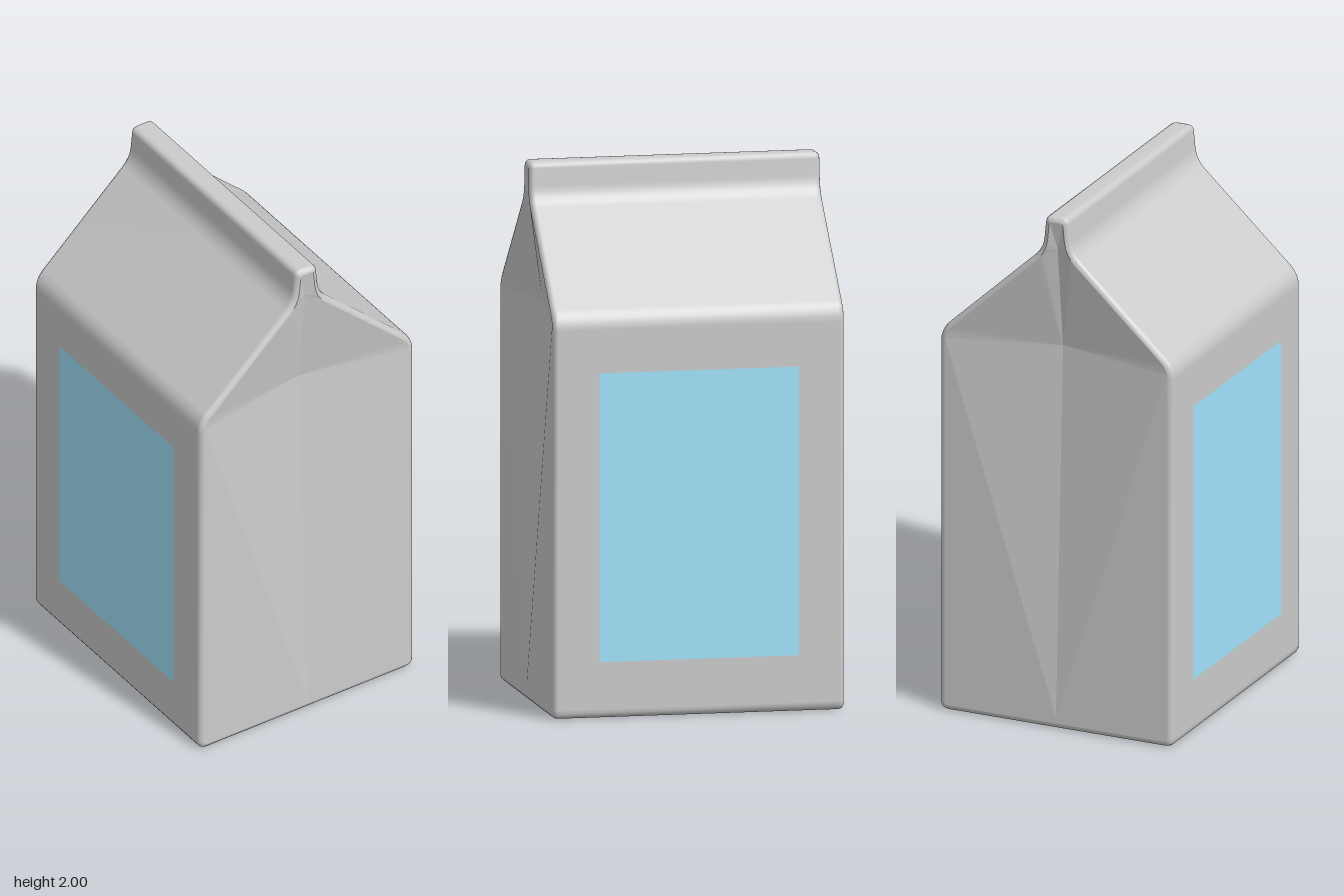
import * as THREE from 'three';

const HALF_DEPTH = 0.545, BEVEL = 0.02;

// right half of the carton outline: x, y, corner rounding
const HALF = [[0.472, 0, 0.035], [0.472, 1.485, 0.045], [0.058, 1.868, 0.045], [0.045, 2, 0.024]];

// closed, rounded outline, counter-clockwise from the bottom centre
function outline() {
  const corners = [...HALF, ...HALF.map(([x, y, r]) => [-x, y, r]).reverse()];
  const n = corners.length, pts = [new THREE.Vector2(0, 0)];
  const at = (i) => new THREE.Vector2(corners[(i + n) % n][0], corners[(i + n) % n][1]);
  corners.forEach(([, , r], i) => {
    const c = at(i);
    const a = at(i - 1).sub(c).setLength(r).add(c);
    const b = at(i + 1).sub(c).setLength(r).add(c);
    pts.push(...new THREE.QuadraticBezierCurve(a, c, b).getPoints(4));
  });
  return pts;
}

// shrink an outline by a distance along its vertex normals
function inset(pts, d) {
  const n = pts.length;
  return pts.map((p, i) => {
    const t1 = p.clone().sub(pts[(i + n - 1) % n]).normalize();
    const t2 = pts[(i + 1) % n].clone().sub(p).normalize();
    const t = t1.add(t2).normalize();
    return new THREE.Vector2(p.x - t.y * d, p.y + t.x * d);
  });
}

function geometryFrom(positions, index) {
  const g = new THREE.BufferGeometry();
  g.setAttribute('position', new THREE.Float32BufferAttribute(positions, 3));
  if (index) g.setIndex(index);
  g.computeVertexNormals();
  return g;
}

// long walls, roof and top seam, with rounded edges at both ends
function shellGeometry(pts) {
  const n = pts.length, pos = [], idx = [], rings = [];
  for (let k = 0; k <= 3; k++) {
    const a = (k / 3) * Math.PI / 2;
    rings.push([HALF_DEPTH - BEVEL * (1 - Math.sin(a)), BEVEL * (1 - Math.cos(a))]);
  }
  const all = [...rings.map(([z, d]) => [-z, d]).reverse(), ...rings];
  for (const [z, d] of all) for (const p of inset(pts, d)) pos.push(p.x, p.y, z);
  for (let k = 0; k < all.length - 1; k++) {
    for (let i = 0; i < n; i++) {
      const j = (i + 1) % n, a = k * n + i, b = k * n + j;
      idx.push(a, b, a + n, b, b + n, a + n);
    }
  }
  return geometryFrom(pos, idx);
}

// folded end wall: fans around the foot, the pushed-in crease point and the seam
function endGeometry(pts) {
  const ring = inset(pts, BEVEL).map((p) => [p.x, p.y, HALF_DEPTH]);
  const foot = [0, 0.04, HALF_DEPTH];
  const crease = [0, 1.48, HALF_DEPTH - 0.06];
  const seam = [0, 1.87, HALF_DEPTH - 0.015];
  const pos = [];
  let last = foot;
  ring.forEach((p, i) => {
    const q = ring[(i + 1) % ring.length];
    const y = (p[1] + q[1]) / 2;
    const hub = y < 1.455 ? foot : y < 1.85 ? crease : seam;
    if (hub !== last) pos.push(...last, ...p, ...hub);
    pos.push(...hub, ...p, ...q);
    last = hub;
  });
  return geometryFrom(pos);
}

export function createModel() {
  const model = new THREE.Group();
  model.name = 'carton';
  const carton = new THREE.Group();
  carton.name = 'cartonBody';
  carton.rotation.y = -0.124;
  model.add(carton);

  const smooth = new THREE.MeshStandardMaterial({ color: 0xcccccc });
  const folded = new THREE.MeshStandardMaterial({ color: 0xcccccc, flatShading: true });
  const blue = new THREE.MeshStandardMaterial({ color: 0xa2e4fd });
  const add = (name, geometry, material) => {
    const mesh = new THREE.Mesh(geometry, material);
    mesh.name = name;
    carton.add(mesh);
    return mesh;
  };

  const pts = outline();
  add('wallsRoofAndSeam', shellGeometry(pts), smooth);

  // folded ends, front and back
  const end = endGeometry(pts);
  add('frontEnd', end, folded);
  add('backEnd', end, folded).rotation.y = Math.PI;

  // coloured panels on the two long sides
  const panel = new THREE.PlaneGeometry(0.745, 1.07);
  for (const s of [1, -1]) {
    const mesh = add(s > 0 ? 'leftPanel' : 'rightPanel', panel, blue);
    mesh.position.set(s * 0.474, 0.745, 0);
    mesh.rotation.y = s * Math.PI / 2;
  }
  return model;
}
